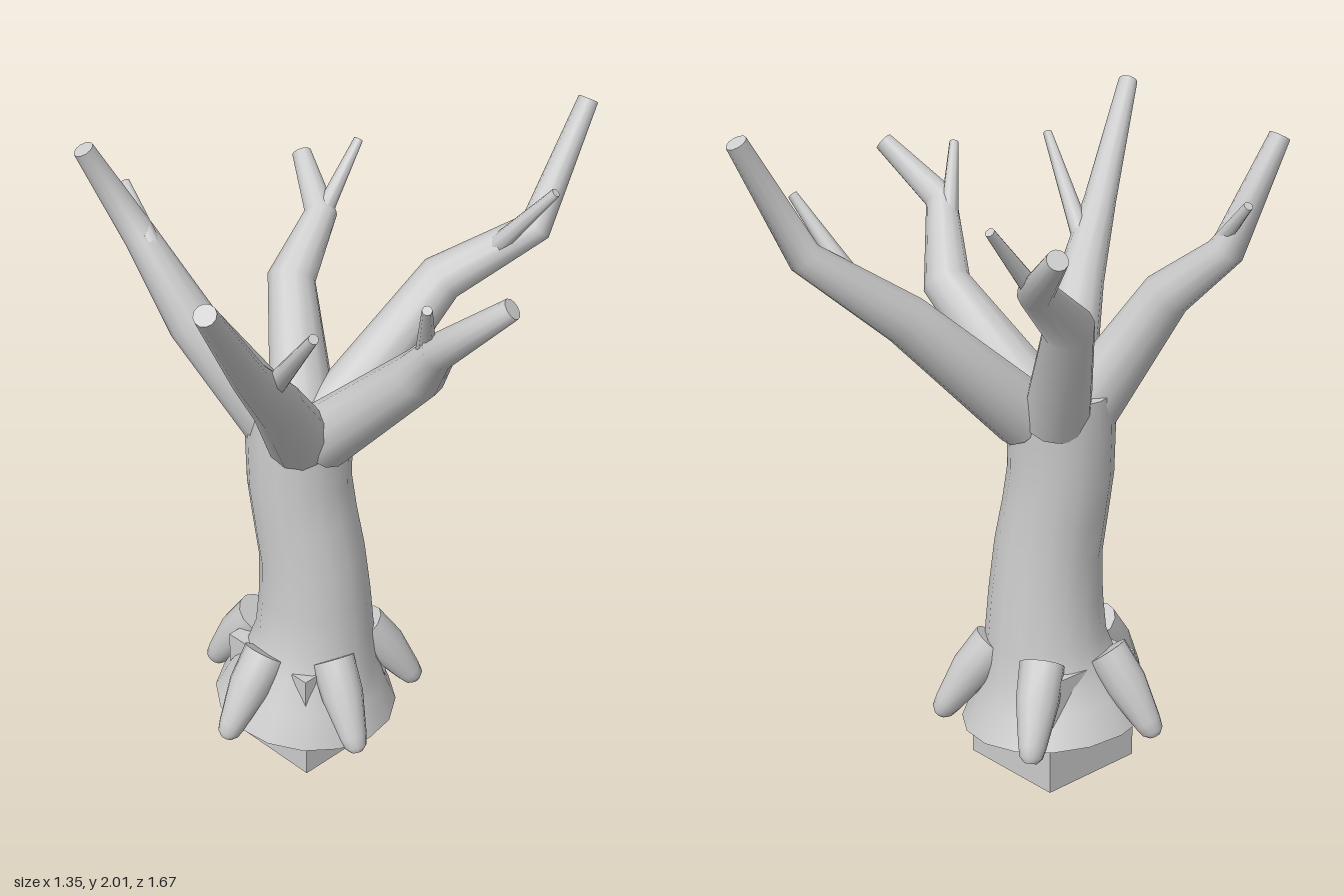
import * as THREE from 'three';

const material = new THREE.MeshStandardMaterial({ color: 0xcccccc });

// Capped tapering limb through stations [x, y, z, radius]
function limb(name, stations, sides = 12) {
  const centres = stations.map(([x, y, z]) => new THREE.Vector3(x, y, z));
  const last = centres.length - 1;
  const positions = [], indices = [];
  const tangent = i => {
    const t = new THREE.Vector3();
    if (i > 0) t.add(centres[i].clone().sub(centres[i - 1]).normalize());
    if (i < last) t.add(centres[i + 1].clone().sub(centres[i]).normalize());
    return t.normalize();
  };

  // rings are carried along the path without twisting
  let previous = tangent(0);
  const u = new THREE.Vector3(0, 0, 1).addScaledVector(previous, -previous.z).normalize();
  const rings = centres.map((c, i) => {
    const t = tangent(i);
    u.applyQuaternion(new THREE.Quaternion().setFromUnitVectors(previous, t));
    previous = t;
    const v = new THREE.Vector3().crossVectors(t, u);
    return Array.from({ length: sides }, (_, k) => {
      const a = (k / sides) * Math.PI * 2;
      return c.clone()
        .addScaledVector(u, Math.cos(a) * stations[i][3])
        .addScaledVector(v, Math.sin(a) * stations[i][3]);
    });
  });
  const addRing = ring => {
    const first = positions.length / 3;
    ring.forEach(p => positions.push(p.x, p.y, p.z));
    return first;
  };

  // side wall
  rings.forEach(addRing);
  for (let i = 0; i < last; i++) {
    for (let k = 0; k < sides; k++) {
      const n = (k + 1) % sides;
      const a = i * sides + k, b = i * sides + n;
      indices.push(a, b, b + sides, a, b + sides, a + sides);
    }
  }
  // flat end caps with their own vertices
  for (const i of [0, last]) {
    const first = addRing(rings[i]);
    for (let k = 1; k < sides - 1; k++) {
      if (i === 0) indices.push(first, first + k + 1, first + k);
      else indices.push(first, first + k, first + k + 1);
    }
  }

  const geometry = new THREE.BufferGeometry();
  geometry.setAttribute('position', new THREE.Float32BufferAttribute(positions, 3));
  geometry.setIndex(indices);
  geometry.computeVertexNormals();
  const mesh = new THREE.Mesh(geometry, material);
  mesh.name = name;
  return mesh;
}

export function createModel() {
  const tree = new THREE.Group();
  tree.name = 'bareTree';

  // square block under the trunk
  const block = new THREE.Mesh(new THREE.BoxGeometry(0.35, 0.36, 0.35), material);
  block.position.set(-0.125, 0.18, 0.055);
  block.name = 'baseBlock';
  tree.add(block);

  // crooked trunk with a flared foot
  tree.add(limb('trunk', [
    [-0.12, 0.145, 0.07, 0.29],
    [-0.112, 0.24, 0.065, 0.245],
    [-0.105, 0.32, 0.055, 0.208],
    [-0.1, 0.42, 0.045, 0.185],
    [-0.1, 0.55, 0.045, 0.173],
    [-0.104, 0.7, 0.052, 0.163],
    [-0.122, 0.83, 0.062, 0.159],
    [-0.137, 0.95, 0.068, 0.158],
    [-0.14, 1.08, 0.065, 0.16],
    [-0.14, 1.2, 0.06, 0.163],
  ], 16));

  // five roots spaced evenly round the foot
  const roots = new THREE.Group();
  roots.name = 'roots';
  for (let i = 0; i < 5; i++) {
    const a = Math.PI / 2 + (i * Math.PI * 2) / 5;
    const at = (r, y, radius) => [-0.12 + Math.cos(a) * r, y, 0.06 + Math.sin(a) * r, radius];
    roots.add(limb('root', [
      at(0.18, 0.39, 0.068), at(0.25, 0.3, 0.065), at(0.325, 0.19, 0.042),
      at(0.342, 0.164, 0.034), at(0.35, 0.15, 0.018),
    ]));
  }
  tree.add(roots);

  // five branches: start, two bends and a tip, each with a twig (from, to)
  const branches = [
    { path: [[-0.1, 1.13, -0.04], [-0.03, 1.48, -0.42], [0.165, 1.65, -0.61], [0.17, 1.99, -0.81]],
      twig: [[0.06, 1.55, -0.5], [0.265, 1.8, -0.57]] },
    { path: [[-0.04, 1.13, 0.065], [0.28, 1.44, -0.01], [0.48, 1.64, 0.14], [0.655, 1.8, 0.06]],
      twig: [[0.37, 1.53, 0.07], [0.51, 1.8, 0.22]] },
    { path: [[-0.08, 1.13, 0.12], [0.1, 1.42, 0.37], [0.21, 1.62, 0.56], [0.345, 1.94, 0.81]],
      twig: [[0.14, 1.5, 0.43], [0.42, 1.8, 0.53]] },
    { path: [[-0.19, 1.14, 0.11], [-0.335, 1.48, 0.29], [-0.575, 1.66, 0.27], [-0.615, 1.96, 0.42]],
      twig: [[-0.45, 1.57, 0.28], [-0.66, 1.8, 0.25]] },
    { path: [[-0.19, 1.14, 0], [-0.36, 1.47, -0.12], [-0.41, 1.61, -0.29], [-0.56, 1.74, -0.355]],
      twig: [[-0.39, 1.54, -0.22], [-0.41, 1.8, -0.45]] },
  ];
  const radii = [0.1, 0.073, 0.05, 0.03];
  for (const { path, twig } of branches) {
    const branch = new THREE.Group();
    branch.name = 'branch';
    branch.add(limb('bough', path.map((p, i) => [...p, radii[i]])));
    branch.add(limb('twig', [[...twig[0], 0.034], [...twig[1], 0.014]], 8));
    tree.add(branch);
  }
  return tree;
}
